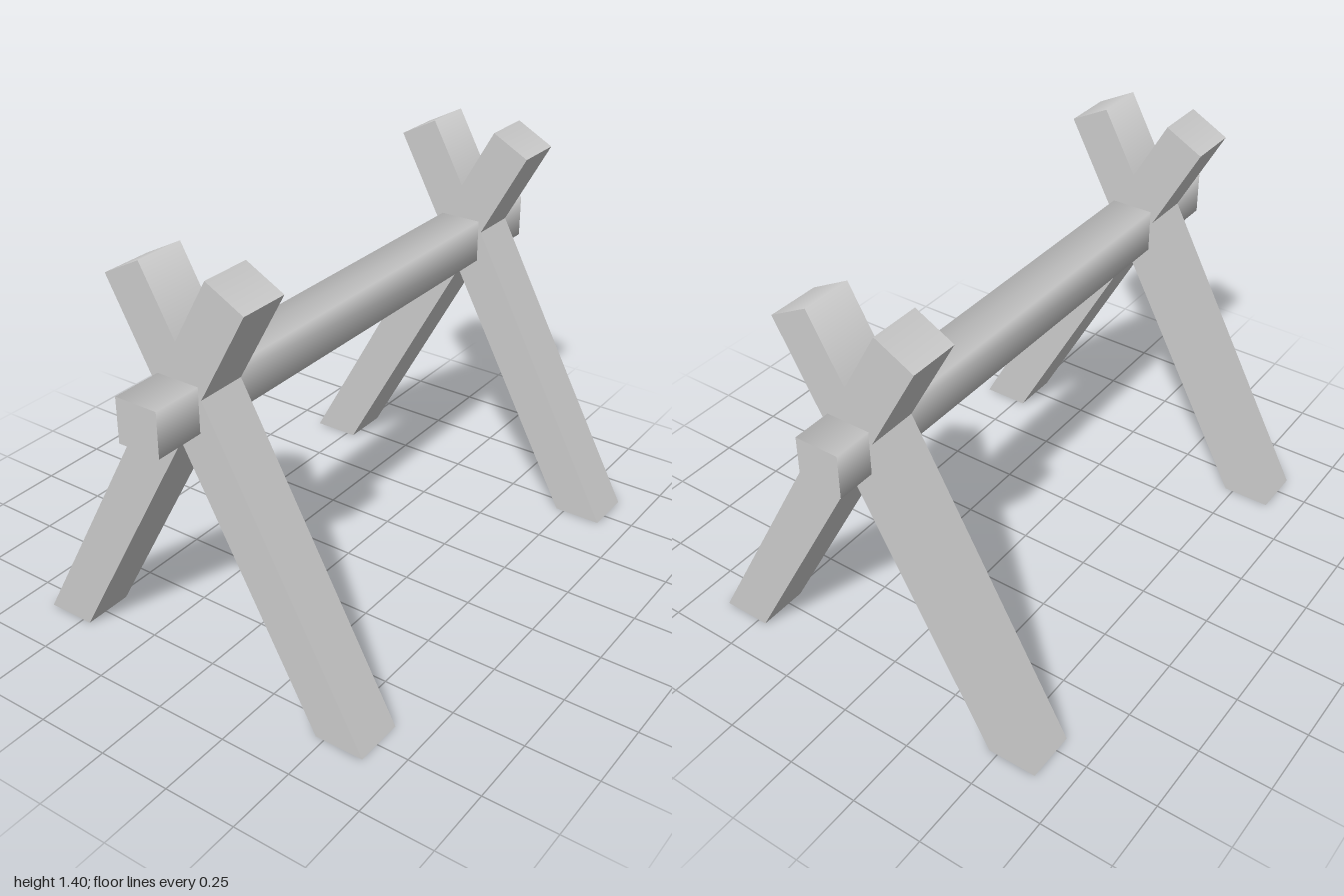
import * as THREE from 'three';

const material = new THREE.MeshStandardMaterial({ color: 0xcccccc });

// Half outline of the crossed legs as (z, y), from the lower crotch up to the upper one
const LOWER_CROTCH = [0, 0.865];
const UPPER_CROTCH = [0, 1.185];
const HALF = [[0.47, 0], [0.64, 0], [0.085, 1.025], [0.252, 1.33], [0.12, 1.4]];
const LEG_WIDTH = 0.175;

function trestleGeometry() {
  const mirrored = HALF.map(([z, y]) => [-z, y]).reverse();
  const outline = [LOWER_CROTCH, ...HALF, UPPER_CROTCH, ...mirrored];
  const shape = new THREE.Shape(outline.map(([z, y]) => new THREE.Vector2(z, y)));
  const geometry = new THREE.ExtrudeGeometry(shape, { depth: LEG_WIDTH, bevelEnabled: false });
  geometry.translate(0, 0, -LEG_WIDTH / 2);
  geometry.rotateY(-Math.PI / 2);

  // Soften the inner top edge of each arm, leaving every other edge sharp
  const position = geometry.attributes.position;
  const normal = geometry.attributes.normal;
  for (let i = 0; i < position.count; i++) {
    const onTip = position.getY(i) > 1.39;
    const onSide = Math.abs(normal.getX(i)) > 0.5;
    if (onTip && !onSide) normal.setXYZ(i, 0, 0.957, -0.29 * Math.sign(position.getZ(i)));
  }
  return geometry;
}

export function createModel() {
  const group = new THREE.Group();
  group.name = 'trestleRail';

  // Square beam with softly shaded long sides and flat ends
  const beamGeometry = new THREE.CylinderGeometry(0.106, 0.106, 2, 4);
  beamGeometry.rotateY(Math.PI / 4);
  beamGeometry.rotateZ(Math.PI / 2);
  const beam = new THREE.Mesh(beamGeometry, material);
  beam.name = 'beam';
  beam.position.y = 0.99;
  group.add(beam);

  // Crossed legs near each end of the beam
  const legs = trestleGeometry();
  for (const [name, x] of [['rightCrossedLegs', -0.74], ['leftCrossedLegs', 0.78]]) {
    const trestle = new THREE.Mesh(legs, material);
    trestle.name = name;
    trestle.position.x = x;
    group.add(trestle);
  }
  return group;
}
